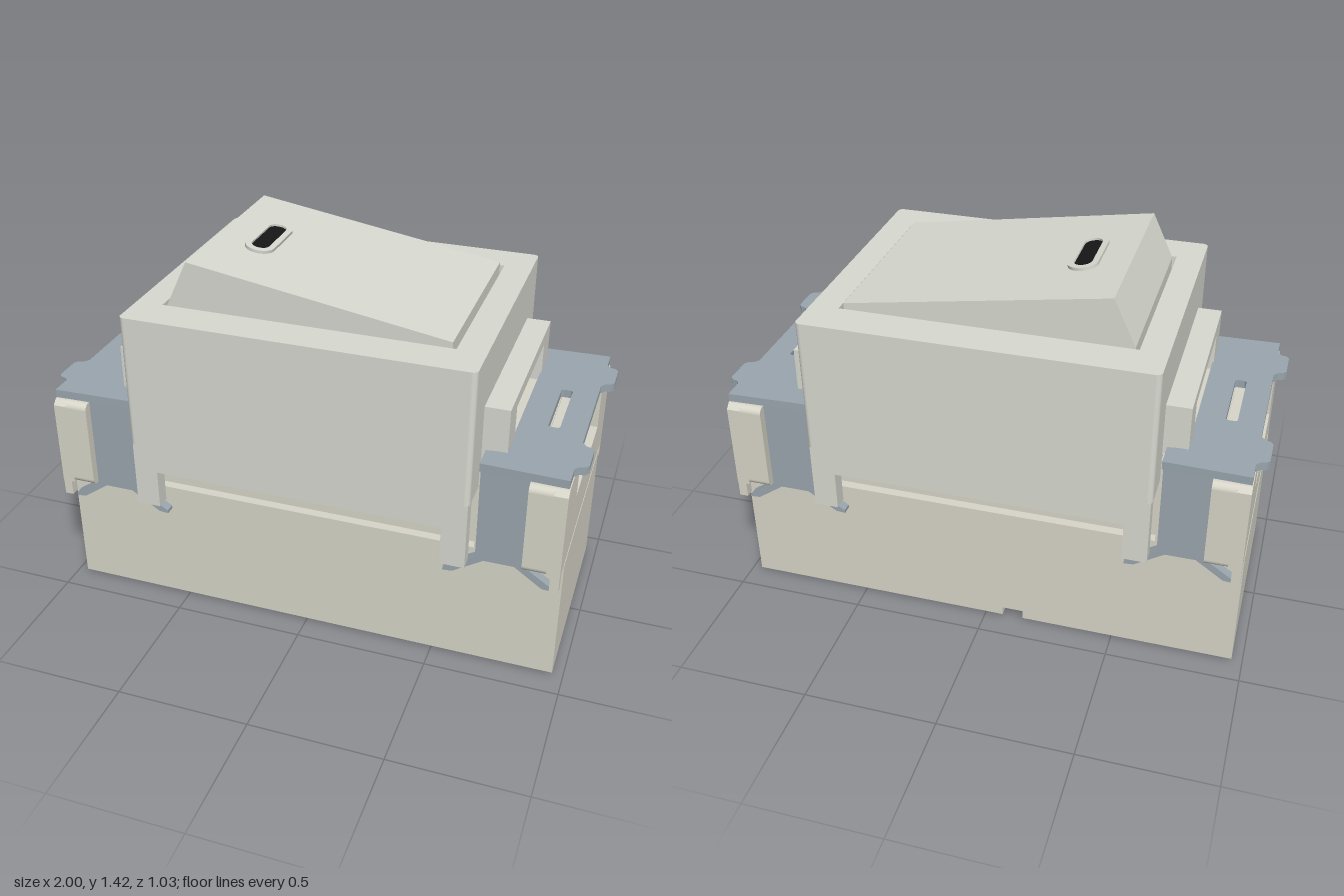
import * as THREE from 'three';

const mat = (color, side = THREE.FrontSide) =>
  new THREE.MeshStandardMaterial({ color, side });

// Rounded rectangle, as a Shape or as a hole Path
function roundRect(w, h, r, cx = 0, cy = 0, Type = THREE.Shape) {
  const p = new Type(), x = cx - w / 2, y = cy - h / 2, q = Math.PI / 2;
  p.absarc(x + w - r, y + r, r, -q, 0);
  p.absarc(x + w - r, y + h - r, r, 0, q);
  p.absarc(x + r, y + h - r, r, q, 2 * q);
  p.absarc(x + r, y + r, r, 2 * q, 3 * q);
  p.closePath();
  return p;
}
const poly = (pts, Type = THREE.Shape) => new Type(pts.map(([x, y]) => new THREE.Vector2(x, y)));
const rect = (x0, x1, y0, y1, Type = THREE.Shape) =>
  poly([[x0, y0], [x1, y0], [x1, y1], [x0, y1]], Type);

function withHoles(shape, ...holes) {
  shape.holes.push(...holes);
  return shape;
}

const extrude = (shape, depth) =>
  new THREE.ExtrudeGeometry(shape, { depth, bevelEnabled: false, curveSegments: 8 });
// Horizontal slab: shape is (x, -z), rising from y0 to y1
const slab = (shape, y0, y1) => extrude(shape, y1 - y0).rotateX(-Math.PI / 2).translate(0, y0, 0);
// Upright plate across x: shape is (-z, y)
const across = (shape, x0, x1) => extrude(shape, x1 - x0).rotateY(Math.PI / 2).translate(x0, 0, 0);
// Upright plate across z: shape is (x, y)
const along = (shape, z0, z1) => extrude(shape, z1 - z0).translate(0, 0, z0);
const box = (x0, x1, y0, y1, z0, z1) =>
  new THREE.BoxGeometry(x1 - x0, y1 - y0, z1 - z0)
    .translate((x0 + x1) / 2, (y0 + y1) / 2, (z0 + z1) / 2);

export function createModel() {
  const model = new THREE.Group();
  const shell = mat(0xd8d9d0), housing = mat(0xd8d6c9), metal = mat(0x9aa6ae);
  const black = mat(0x161616), brass = mat(0xd9c41c);
  const inner = mat(0xd8d6c9, THREE.DoubleSide);
  const add = (parent, name, geometry, material) => {
    const mesh = new THREE.Mesh(geometry, material);
    mesh.name = name;
    parent.add(mesh);
    return mesh;
  };

  // Housing: floor with screw wells, terminal pockets and a release groove
  const floorHoles = () => {
    const holes = [];
    for (const s of [-1, 1]) {
      for (const z of [-0.21, 0.21]) {
        const p = new THREE.Path();
        p.absarc(s * 0.65, z, 0.115, 0, Math.PI * 2);
        holes.push(p);
      }
      holes.push(poly([[0.61, -0.06], [0.78, -0.06], [0.78, -0.13], [0.93, -0.13],
        [0.93, 0.13], [0.78, 0.13], [0.78, 0.06], [0.61, 0.06]].map(([x, y]) => [s * x, y]), THREE.Path));
    }
    return holes;
  };
  const grooved = poly([[-0.96, -0.405], [0.96, -0.405], [0.96, 0.405], [-0.07, 0.405],
    [-0.07, -0.13], [-0.15, -0.13], [-0.15, 0.405], [-0.96, 0.405]]);
  add(model, 'housingFloor', slab(withHoles(grooved, ...floorHoles()), 0.01, 0.045), housing);
  add(model, 'housingFloorUpper',
    slab(withHoles(rect(-0.96, 0.96, -0.405, 0.405), ...floorHoles()), 0.045, 0.13), housing);
  add(model, 'housing', box(-0.96, 0.96, 0.13, 0.5, -0.405, 0.405), housing);
  add(model, 'housingCore', box(-0.64, 0.64, 0.5, 0.75, -0.37, 0.37), housing);

  // Underside details
  const outlines = [[0.26, 0.67, -0.33, 0], [0.4, 0.22, 0.25, -0.24]];
  for (const [w, h, x, y] of outlines) {
    add(model, 'undersideOutline', slab(withHoles(roundRect(w, h, 0.04, x, y),
      roundRect(w - 0.02, h - 0.02, 0.03, x, y, THREE.Path)), 0.006, 0.012), housing);
  }
  add(model, 'undersideRing', new THREE.TorusGeometry(0.075, 0.005, 6, 32)
    .rotateX(Math.PI / 2).translate(0.305, 0.01, -0.26), housing);

  // Body with an opening for the rocker
  add(model, 'body', slab(roundRect(1.27, 1.03, 0.02), 0.74, 1.17), shell);
  add(model, 'bodyRim', slab(withHoles(roundRect(1.27, 1.03, 0.02),
    rect(-0.535, 0.53, -0.37, 0.37, THREE.Path)), 1.17, 1.25), shell);

  // Skirts hanging in front of the housing, open in the middle
  const skirt = poly([[-0.63, 0.48], [-0.54, 0.48], [-0.54, 0.63], [0.54, 0.63],
    [0.54, 0.48], [0.63, 0.48], [0.63, 0.74], [-0.63, 0.74]]);
  add(model, 'frontSkirt', along(skirt, 0.455, 0.508), shell);
  add(model, 'backSkirt', along(skirt, -0.508, -0.455), shell);

  // Tilted rocker
  add(model, 'rocker', along(poly([[-0.52, 1.17], [0.515, 1.17], [0.515, 1.267],
    [-0.44, 1.42], [-0.52, 1.25]]), -0.36, 0.36), shell);

  // Indicator window on the rocker slope
  const indicator = new THREE.Group();
  indicator.name = 'indicator';
  indicator.position.set(-0.275, 1.393, 0);
  indicator.rotation.z = -0.159;
  add(indicator, 'indicatorRim', slab(withHoles(roundRect(0.11, 0.28, 0.054),
    roundRect(0.066, 0.23, 0.032, 0, 0, THREE.Path)), -0.005, 0.012), shell);
  add(indicator, 'indicatorLens', slab(roundRect(0.068, 0.232, 0.033), -0.005, 0.004), black);
  model.add(indicator);

  // Both ends are alike; the second is turned half way round
  for (const turn of [0, Math.PI]) {
    const end = new THREE.Group();
    end.name = turn ? 'rightEnd' : 'leftEnd';
    end.rotation.y = turn;
    model.add(end);

    add(end, 'endCore', box(0.64, 0.825, 0.5, 0.855, -0.405, 0.405), housing);
    // Wide end wall, notched at the top of its outer face
    add(end, 'endBlock', across(roundRect(0.98, 0.35, 0.025, 0, 0.675), 0.825, 0.91), housing);
    const cap = poly([[-0.49, 0.5], [0.49, 0.5], [0.49, 0.83], [0.47, 0.85], [0.25, 0.85],
      [0.25, 0.69], [-0.25, 0.69], [-0.25, 0.85], [-0.47, 0.85], [-0.49, 0.83]]);
    add(end, 'endWall', across(cap, 0.91, 0.958), housing);

    // Step with a window frame beside the body
    add(end, 'windowFrame', across(poly([[-0.365, 0.85], [-0.25, 0.85], [-0.25, 1.005],
      [0.25, 1.005], [0.25, 0.85], [0.365, 0.85], [0.365, 1.05], [-0.365, 1.05]]), 0.63, 0.725), shell);
    add(end, 'windowPlate', across(withHoles(rect(-0.25, 0.25, 0.86, 1.005),
      roundRect(0.33, 0.08, 0.012, 0, 0.94, THREE.Path)), 0.66, 0.68), metal);

    // Metal bracket plate with ears and a slot
    const half = [[0.72, 0.36], [0.65, 0.37], [0.65, 0.46], [0.955, 0.47], [0.955, 0.39],
      [0.97, 0.375], [0.99, 0.37], [1, 0.355], [1, 0.255], [0.99, 0.24], [0.97, 0.235], [0.955, 0.215]];
    const outline = [...half, ...half.map(([x, y]) => [x, -y]).reverse()];
    add(end, 'bracketPlate', slab(withHoles(poly(outline),
      roundRect(0.042, 0.285, 0.01, 0.842, 0, THREE.Path)), 0.855, 0.886), metal);

    for (const s of [-1, 1]) {
      const span = (a, b) => (s > 0 ? [a, b] : [-b, -a]);
      add(end, 'cornerFoot', box(0.925, 0.958, 0.44, 0.51, ...span(0.455, 0.488)), housing);
      // Strap with two splayed claws
      add(end, 'strap', box(0.655, 0.825, 0.49, 0.87, ...span(0.405, 0.458)), metal);
      add(end, 'innerClaw', along(poly([[0.655, 0.495], [0.54, 0.425], [0.54, 0.412],
        [0.575, 0.415], [0.7, 0.495]]), ...span(0.415, 0.452)), metal);
      add(end, 'outerClaw', along(poly([[0.78, 0.495], [0.895, 0.415], [0.93, 0.412],
        [0.93, 0.425], [0.825, 0.495]]), ...span(0.415, 0.452)), metal);
      // Conical screw well in the floor
      add(end, 'screwWell', new THREE.CylinderGeometry(0.045, 0.115, 0.12, 32, 1, true)
        .translate(0.65, 0.07, s * 0.21), inner);
    }
    add(end, 'terminal', box(0.62, 0.77, 0.05, 0.13, -0.055, 0.055), brass);
    // Raised marks under the floor
    for (const z of [-0.08, -0.027, 0.027, 0.08]) {
      add(end, 'floorMark', box(0.5, 0.55, 0, 0.012, z - 0.02, z + 0.02), housing);
    }
  }
  return model;
}
